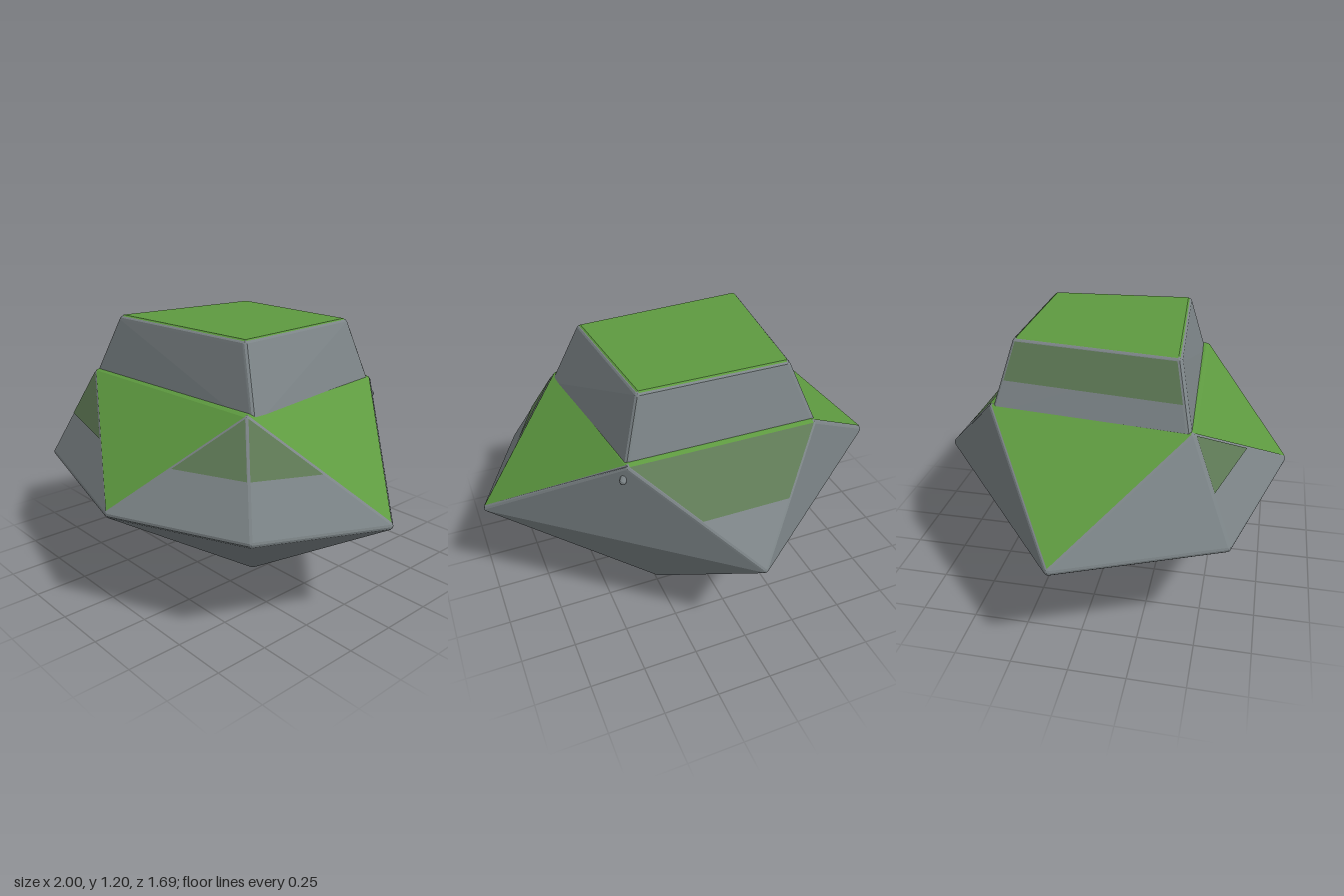
import * as THREE from 'three';
import { ConvexGeometry } from 'three/addons/geometries/ConvexGeometry.js';

const R = 0.02;        // edge rounding
const LIFT = 0.023;    // height of painted plates over the rounded core
const CENTRE = new THREE.Vector3(0, 0.55, 0);

// Corner ring at height y, pulled in by the rounding radius
const ring = (y, pts) => pts.map(([x, z]) => {
  const s = 1 - R / Math.hypot(x, z);
  return new THREE.Vector3(x * s, y, z * s);
});

// Convex stone with softened edges: hull of a small ball at each corner
function stone(name, corners, mat, r = R) {
  const ball = new THREE.IcosahedronGeometry(r, 1).getAttribute('position');
  const pts = [];
  for (const c of corners) {
    for (let i = 0; i < ball.count; i++) pts.push(new THREE.Vector3().fromBufferAttribute(ball, i).add(c));
  }
  const mesh = new THREE.Mesh(new ConvexGeometry(pts), mat);
  mesh.name = name;
  return mesh;
}

// Outward normal of a flat polygon
function outward(p) {
  const n = p[1].clone().sub(p[0]).cross(p[2].clone().sub(p[0])).normalize();
  return n.dot(p[0].clone().sub(CENTRE)) < 0 ? n.negate() : n;
}

// Single-sided polygon facing away from the centre
function face(name, p, mat) {
  const flip = p[1].clone().sub(p[0]).cross(p[2].clone().sub(p[0])).dot(outward(p)) < 0;
  const q = flip ? [...p].reverse() : p;
  const tris = [];
  for (let i = 1; i < q.length - 1; i++) tris.push(q[0], q[i], q[i + 1]);
  const geo = new THREE.BufferGeometry().setFromPoints(tris);
  geo.computeVertexNormals();
  const mesh = new THREE.Mesh(geo, mat);
  mesh.name = name;
  return mesh;
}

const lifted = (p) => {
  const n = outward(p);
  return p.map((v) => v.clone().addScaledVector(n, LIFT));
};

// Part of a polygon above height y
function above(p, y) {
  const out = [];
  p.forEach((a, i) => {
    const b = p[(i + 1) % p.length];
    if (a.y >= y) out.push(a);
    if ((a.y >= y) !== (b.y >= y)) out.push(a.clone().lerp(b, (y - a.y) / (b.y - a.y)));
  });
  return out;
}

export function createModel() {
  const model = new THREE.Group();
  const paint = (name, color) => {
    const m = new THREE.MeshStandardMaterial({ color });
    m.name = name;
    return m;
  };
  const grey = paint('stone grey', 0x7c8487);
  const green = paint('grass green', 0x5e9a40);
  const moss = paint('moss green', 0x5f7a56);

  // Corner rings, from the base up
  const base = ring(0.12, [[-0.28, 0.26], [0.37, 0.21], [0.28, -0.33], [-0.21, -0.31]]);
  const mid = ring(0.49, [[-1, -0.07], [-0.7, 0.62], [0.13, 0.84], [0.74, 0.57], [1, 0.03], [-0.03, -0.845]]);
  const rim = ring(0.905, [[-0.55, 0.44], [0.53, 0.4], [0.45, -0.475], [-0.44, -0.475]]);
  const blockBase = ring(0.88, [[-0.56, 0.43], [0.545, 0.375], [0.455, -0.46], [-0.455, -0.46]]);
  const blockTop = ring(1.18, [[-0.425, 0.36], [0.415, 0.305], [0.365, -0.385], [-0.335, -0.385]]);

  // Stones
  model.add(stone('boulder', [...base, ...mid, ...rim], grey));
  model.add(stone('upperBlock', [...blockBase, ...blockTop], grey));
  const foot = ring(0.13, [[-0.21, 0.13], [0.25, 0.1], [0.17, -0.21], [-0.15, -0.18]]);
  model.add(stone('bottomPoint', [...foot, new THREE.Vector3(0.02, 0.02, -0.035)], grey));
  model.add(stone('pebble', [new THREE.Vector3(0.45, 0.87, -0.45), new THREE.Vector3(0.465, 0.845, -0.465)], grey, 0.015));

  // Grass on the flat tops
  const rimTop = lifted(rim);
  model.add(face('ledgeGrass', rimTop, green));
  const cap = lifted(blockTop);
  model.add(face('topGrass', cap, green));

  // Grass lip around the block's top edge and the ledge, plus the sloping patches
  const peaks = [2, 4, 5, 0];
  for (let i = 0; i < 4; i++) {
    const j = (i + 1) % 4;
    const side = lifted([blockTop[i], blockTop[j], blockBase[j], blockBase[i]]);
    const lip = [cap[i], cap[j]].map((v, k) => v.clone().lerp(side[k], 0.6));
    model.add(face('topGrassLip', [cap[i], cap[j], lip[1], lip[0]], green));

    const slope = lifted([rim[i], rim[j], mid[peaks[i]]]);
    model.add(face('ledgeGrassLip', [rimTop[i], rimTop[j], slope[1], slope[0]], green));
    if (i === 2) model.add(face('backMoss', above(slope, 0.7), moss));
    else model.add(face('slopeGrass', slope, green));
    if (i === 3) model.add(face('blockMoss', above(side, 1.03), moss));
  }

  // Moss on the front corner facets
  for (const [r, a, b] of [[0, 1, 2], [1, 2, 3], [1, 3, 4]]) {
    model.add(face('cornerMoss', above(lifted([rim[r], mid[a], mid[b]]), 0.7), moss));
  }
  return model;
}
